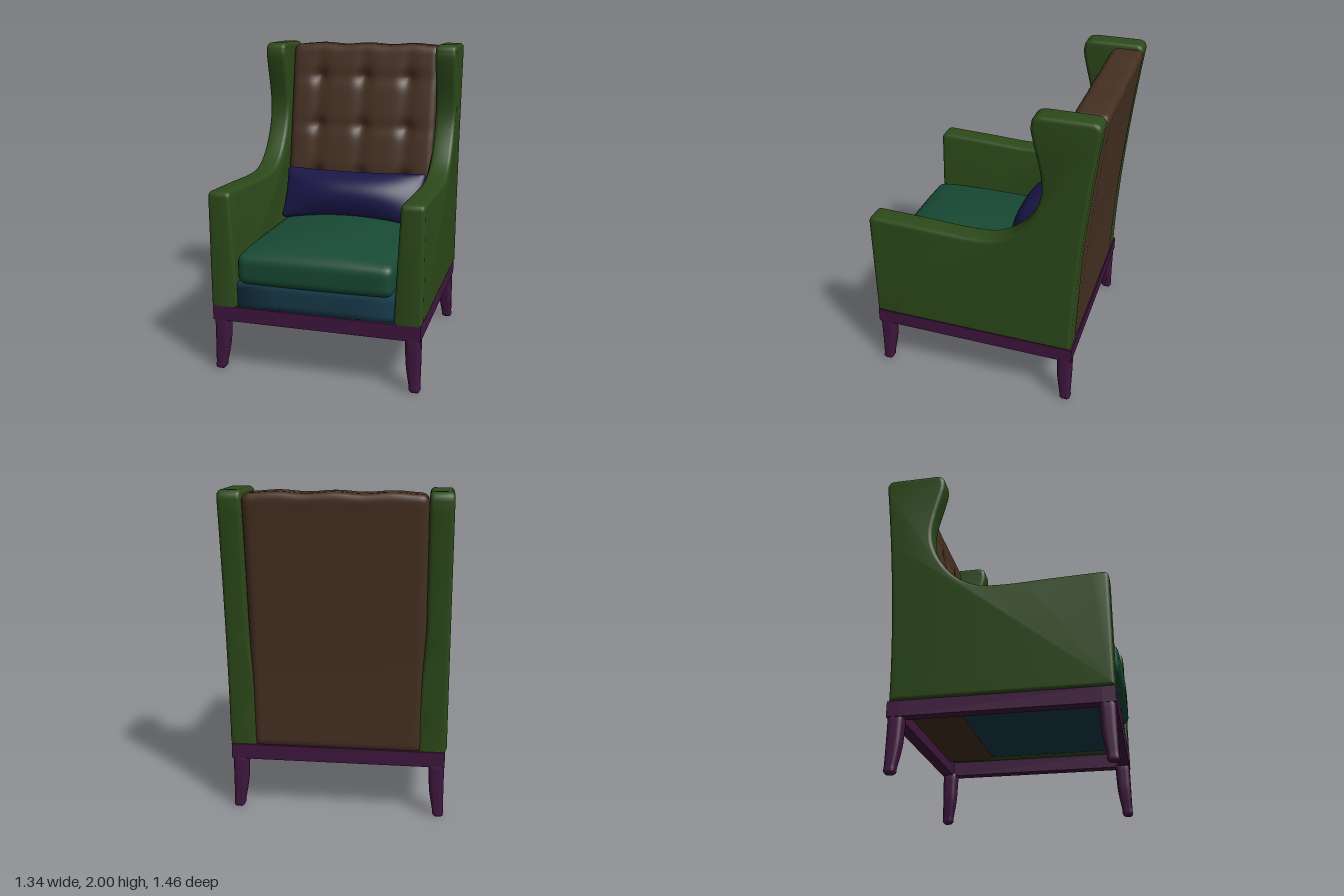
import * as THREE from 'three';
import { mergeVertices, toCreasedNormals } from 'three/addons/utils/BufferGeometryUtils.js';

const mat = (color) => new THREE.MeshStandardMaterial({ color });
const GREEN = mat(0x2d4a1a), BROWN = mat(0x463022), PURPLE = mat(0x40163f);
const NAVY = mat(0x1a1748), TEAL = mat(0x184a34), SLATE = mat(0x173a4a);
const { smoothstep, lerp } = THREE.MathUtils;

// Subdivided box with rounded edges, then bent by a rule: deform(v) in local coordinates
function softBox(size, r, segs, deform) {
  let g = new THREE.BoxGeometry(...size, ...segs);
  g.deleteAttribute('uv');
  g.deleteAttribute('normal');
  g = mergeVertices(g, 1e-5);
  const p = g.attributes.position, v = new THREE.Vector3(), q = new THREE.Vector3();
  const lim = new THREE.Vector3(...size).multiplyScalar(0.5).subScalar(r);
  const low = lim.clone().negate();
  for (let i = 0; i < p.count; i++) {
    v.fromBufferAttribute(p, i);
    q.copy(v).clamp(low, lim);
    v.sub(q).setLength(r).add(q);
    if (deform) deform(v);
    p.setXYZ(i, v.x, v.y, v.z);
  }
  g.computeVertexNormals();
  return g;
}

// Raked rear line shared by the back and the wings
const rearZ = (y) => -0.61 - 0.115 * Math.pow(Math.max(0, (y - 0.43) / 1.55), 1.7);

// Arm and wing in one sweeping profile, thicker towards the seat
function sideGeometry(side) {
  const s = new THREE.Shape();
  s.moveTo(-0.61, 0.43);
  s.lineTo(0.7, 0.43);
  s.lineTo(0.7, 1.12);
  s.quadraticCurveTo(0.7, 1.16, 0.66, 1.16);
  const sweep = [[0.66, 1.16], [0.35, 1.15], [0.05, 1.14], [-0.1, 1.155], [-0.22, 1.215], [-0.32, 1.325],
    [-0.385, 1.46], [-0.4, 1.56], [-0.385, 1.68], [-0.35, 1.82], [-0.33, 1.92], [-0.335, 1.965]];
  const curve = new THREE.CatmullRomCurve3(sweep.map(([z, y]) => new THREE.Vector3(z, y, 0)));
  curve.getPoints(60).slice(1).forEach((p) => s.lineTo(p.x, p.y));
  s.quadraticCurveTo(-0.345, 2.0, -0.4, 2.0);
  s.lineTo(-0.67, 2.0);
  s.quadraticCurveTo(-0.72, 2.0, rearZ(1.95), 1.95);
  for (let i = 1; i < 20; i++) {
    const y = lerp(1.95, 0.43, i / 20);
    s.lineTo(rearZ(y), y);
  }
  const bevel = 0.025, width = 0.175;
  const g = new THREE.ExtrudeGeometry(s, {
    depth: width - 2 * bevel, bevelThickness: bevel, bevelSize: bevel,
    bevelOffset: -bevel, bevelSegments: 4, curveSegments: 6,
  });
  g.translate(0, 0, bevel - width / 2);
  g.rotateY(-Math.PI / 2);
  const p = g.attributes.position;
  for (let i = 0; i < p.count; i++) {
    const x = p.getX(i);
    const slim = x * side < 0 ? 0.035 * smoothstep(p.getY(i), 0.7, 1.25) : 0;
    p.setX(i, x + side * (0.5825 + slim));
  }
  return toCreasedNormals(g, 0.6);
}

// Tufted back cushion
function backGeometry() {
  const buttons = [];
  for (const x of [-0.32, 0, 0.32]) for (const y of [1.08, 1.42, 1.76]) buttons.push([x, y]);
  return softBox([1.06, 1.59, 0.24], 0.05, [60, 72, 12], (v) => {
    const y = v.y + 1.2;
    const t = v.z / 0.24 + 0.5;
    let front = -0.5 + (1.85 - y) * 0.19;
    for (const [bx, by] of buttons) {
      const dx = v.x - bx, dy = y - by;
      front -= 0.025 * Math.exp(-(dx * dx + dy * dy) / 0.0022);
      front -= 0.012 * Math.exp(-(dx * dx) / 0.003 - (dy * dy) / 0.03);
      front -= 0.008 * Math.exp(-(dx * dx) / 0.03 - (dy * dy) / 0.002);
    }
    v.z = lerp(rearZ(y) - 0.007, front, t);
    v.y = y - 0.005 * smoothstep(y, 1.85, 2) * (1 - Math.cos(v.x * 19));
  });
}

// Domed seat cushion with a slightly bowed front
function cushionGeometry() {
  return softBox([0.98, 0.19, 1.15], 0.05, [40, 12, 40], (v) => {
    const u = v.x / 0.49, w = v.z / 0.575;
    if (v.y > 0) v.y += (0.02 + 0.06 * (1 - u * u)) * (1 - Math.pow(Math.abs(w), 4)) * (v.y / 0.095);
    v.z += 0.012 * (1 - u * u) * smoothstep(w, 0.6, 1);
  });
}

// Lumbar pillow, plump in the middle with pulled-out corners
function pillowGeometry() {
  return softBox([1.0, 0.37, 0.06], 0.025, [48, 28, 6], (v) => {
    const u = v.x / 0.5, w = v.y / 0.185;
    const puff = (1 - Math.pow(Math.abs(u), 2.5)) * (1 - w * w);
    v.z *= 1 + 3.6 * Math.max(0, puff);
    v.y *= 1 - 0.08 * (1 - u * u);
    v.x *= 1 - 0.025 * (1 - w * w);
  });
}

// Tapered leg whose foot drifts to the outer corner
function legGeometry(sx, sz) {
  return softBox([0.096, 0.36, 0.096], 0.03, [10, 20, 10], (v) => {
    const y = Math.max(0, v.y + 0.18);
    const k = lerp(0.56, 0.95, smoothstep(y, -0.08, 0.23)) + 0.05 * smoothstep(y, 0.2, 0.34);
    const flat = y < 0.03 ? 1.15 : 1;
    v.x = v.x * k * flat + sx * 0.048 * (1 - k);
    v.z = v.z * k * flat + sz * 0.048 * (1 - k);
  });
}

export function createModel() {
  const model = new THREE.Group();
  const add = (name, geometry, material, x = 0, y = 0, z = 0, parent = model) => {
    const m = new THREE.Mesh(geometry, material);
    m.name = name;
    m.position.set(x, y, z);
    parent.add(m);
    return m;
  };

  // Upholstery
  add('leftArmAndWing', sideGeometry(1), GREEN);
  add('rightArmAndWing', sideGeometry(-1), GREEN);
  add('tuftedBack', backGeometry(), BROWN);
  add('seatBase', softBox([1.0, 0.17, 1.17], 0.01, [4, 4, 4]), SLATE, 0, 0.51, 0.105);
  add('seatCushion', cushionGeometry(), TEAL, 0, 0.68, 0.14);
  add('lumbarPillow', pillowGeometry(), NAVY, 0, 0.965, -0.215).rotation.x = -0.45;

  // Wooden frame
  const frame = new THREE.Group();
  frame.name = 'frame';
  model.add(frame);
  const rail = 0.075, h = 0.095, y = 0.3825;
  add('frontRail', new THREE.BoxGeometry(1.32, h, rail), PURPLE, 0, y, 0.7 - rail / 2, frame);
  add('backRail', new THREE.BoxGeometry(1.32, h, rail), PURPLE, 0, y, -0.62 + rail / 2, frame);
  for (const s of [1, -1]) {
    const name = s > 0 ? 'left' : 'right';
    add(name + 'Rail', new THREE.BoxGeometry(rail, h, 1.32 - 2 * rail), PURPLE, s * (0.66 - rail / 2), y, 0.04, frame);
    add(name + 'FrontLeg', legGeometry(s, 1), PURPLE, s * 0.61, 0.18, 0.65, frame);
    add(name + 'BackLeg', legGeometry(s, -1), PURPLE, s * 0.61, 0.18, -0.57, frame);
  }
  for (const leg of frame.children) if (leg.name.endsWith('Leg')) leg.position.y = 0.18;
  return model;
}
